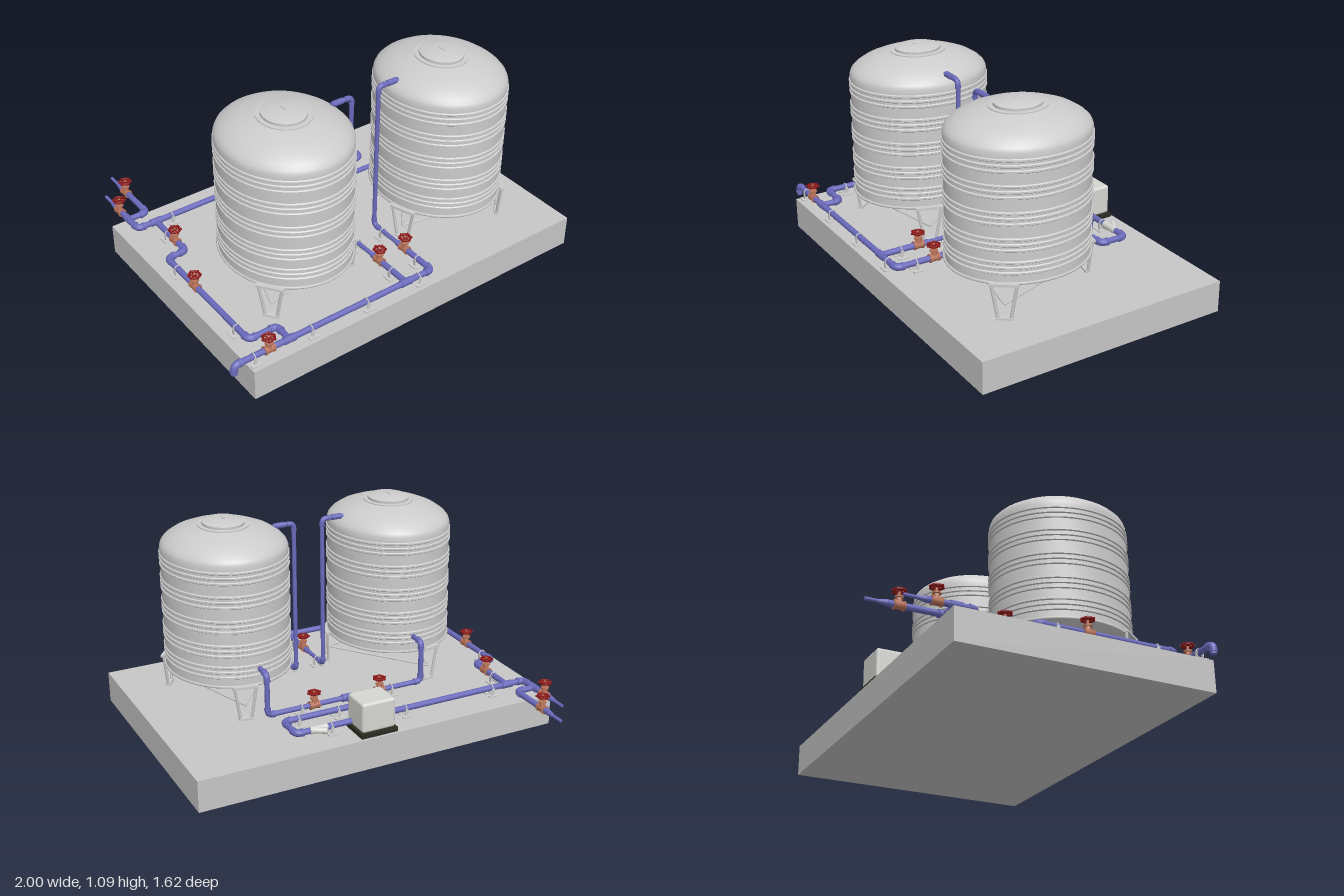
import * as THREE from 'three';
import { toCreasedNormals } from 'three/addons/utils/BufferGeometryUtils.js';
import { RoundedBoxGeometry } from 'three/addons/geometries/RoundedBoxGeometry.js';

const paint = (name, color) => {
  const m = new THREE.MeshStandardMaterial({ color });
  m.name = name;
  return m;
};
const V = (x, y, z) => new THREE.Vector3(x, y, z);
const UP = V(0, 1, 0);

function add(parent, name, geo, mat, x = 0, y = 0, z = 0) {
  const mesh = new THREE.Mesh(geo, mat);
  mesh.name = name;
  mesh.position.set(x, y, z);
  parent.add(mesh);
  return mesh;
}

function addGroup(parent, name) {
  const g = new THREE.Group();
  g.name = name;
  parent.add(g);
  return g;
}

// Round bar from a to b, optionally tapered to radius r2
function rod(parent, name, a, b, r, mat, r2 = r, sides = 12) {
  const geo = new THREE.CylinderGeometry(r2, r, a.distanceTo(b), sides);
  const mesh = add(parent, name, geo, mat);
  mesh.position.copy(a).add(b).multiplyScalar(0.5);
  mesh.quaternion.setFromUnitVectors(UP, b.clone().sub(a).normalize());
  return mesh;
}

export function createModel() {
  const root = new THREE.Group();
  root.name = 'waterTankStation';
  const concrete = paint('concrete', 0xc6c6c6);
  const steel = paint('steel', 0xcccccc);
  const blue = paint('pipe blue', 0x6a6abc);
  const brass = paint('valve copper', 0xb9735a);
  const red = paint('wheel red', 0x8e1616);
  const casing = paint('pump casing', 0xd6d6d2);
  const dark = paint('pump base', 0x2c2c22);

  const PY = 0.2;       // pipe centre height
  const TOP = 0.16;     // slab top
  const TZ = 0.32;      // tank centre z

  add(root, 'slab', new THREE.BoxGeometry(1.91, TOP, 1.295), concrete, 0.042, TOP / 2, 0.162);

  // Ribbed tank wall with dished bottom and domed top
  const R = 0.345;
  const profile = [[0, 0.258], [0.1, 0.263], [0.2, 0.278], [0.28, 0.3], [0.325, 0.322], [R, 0.34]];
  for (const centre of [0.41, 0.52, 0.645, 0.77, 0.89]) {
    for (const d of [-0.026, 0, 0.026]) {
      const y = centre + d;
      profile.push([R, y - 0.008], [R + 0.006, y - 0.004], [R + 0.006, y + 0.004], [R, y + 0.008]);
    }
  }
  profile.push([R, 0.95], [0.338, 0.967], [0.32, 0.985], [0.28, 1.01], [0.22, 1.033], [0.139, 1.05],
    [0.139, 1.055], [0.115, 1.056], [0.115, 1.068], [0.1, 1.073], [0.05, 1.08], [0, 1.083]);
  const tankGeo = toCreasedNormals(
    new THREE.LatheGeometry(profile.map(p => new THREE.Vector2(...p)), 48), 0.5);

  function tank(name, cx, firstLeg) {
    const g = addGroup(root, name);
    g.position.set(cx, 0, TZ);
    g.scale.x = 0.895;
    add(g, 'tankShell', tankGeo, steel);
    rod(g, 'hatchHandle', V(0, 1.083, -0.02), V(0, 1.083, 0.02), 0.005, steel);
    const rim = add(g, 'supportRim', new THREE.TorusGeometry(0.348, 0.007, 6, 48), steel, 0, 0.337, 0);
    rim.rotation.x = Math.PI / 2;
    const mids = [];
    for (let i = 0; i < 3; i++) {
      const a = THREE.MathUtils.degToRad(firstLeg + i * 120);
      const leg = addGroup(g, 'legFrame');
      leg.rotation.y = -a; // local +x points outward
      add(leg, 'topPlate', new THREE.BoxGeometry(0.022, 0.012, 0.14), steel, 0.36, 0.336, 0);
      for (const s of [-1, 1]) {
        rod(leg, 'legBar', V(0.358, 0.335, s * 0.06), V(0.35, TOP, s * 0.03), 0.008, steel, 0.008, 8);
      }
      add(leg, 'footBar', new THREE.BoxGeometry(0.025, 0.01, 0.08), steel, 0.35, TOP + 0.005, 0);
      mids.push(V(Math.cos(a) * 0.35, 0.235, Math.sin(a) * 0.35));
    }
    mids.forEach((m, i) => rod(g, 'legBrace', m, mids[(i + 1) % 3], 0.005, steel, 0.005, 8));
  }
  tank('rightTank', -0.405, 20);
  tank('leftTank', 0.51, 40);

  // Pipe run: straight lengths with thicker curved elbows at the corners
  function pipe(name, r, ...coords) {
    const g = addGroup(root, name);
    const pts = coords.map(c => V(...c));
    const last = pts.length - 1;
    const bend = 0.028;
    const toward = (a, b) => a.clone().add(b.clone().sub(a).setLength(bend));
    for (let i = 0; i < last; i++) {
      const a = i > 0 ? toward(pts[i], pts[i + 1]) : pts[i];
      const b = i + 1 < last ? toward(pts[i + 1], pts[i]) : pts[i + 1];
      rod(g, 'pipeLength', a, b, r, blue);
      if (i > 0) {
        const curve = new THREE.QuadraticBezierCurve3(toward(pts[i], pts[i - 1]), pts[i], a);
        add(g, 'elbow', new THREE.TubeGeometry(curve, 8, r * 1.2, 12), blue);
        for (const [p, q] of [[curve.v0, pts[i - 1]], [curve.v2, pts[i + 1]]]) {
          rod(g, 'elbowCollar', p, p.clone().add(q.clone().sub(p).setLength(0.01)), r * 1.3, blue);
        }
      }
    }
  }
  const r = 0.015;
  pipe('frontMain', r, [-0.985, 0.15, 0.757], [-0.985, PY, 0.757], [0.135, PY, 0.757], [0.135, PY, 0.5]);
  pipe('leftTankFeed', 0.011, [0.135, PY, 0.5], [0.135, PY, 0.315], [0.135, 1, 0.315], [0.25, 1, 0.315]);
  pipe('rightTankBranch', r, [-0.022, PY, 0.757], [-0.022, PY, 0.5]);
  pipe('rightTankFeed', 0.011, [-0.022, PY, 0.5], [-0.022, PY, 0.315], [-0.022, 1, 0.315], [-0.14, 1, 0.315]);
  for (const [x0, x1] of [[-0.075, -0.13], [0.185, 0.24]]) {
    rod(root, 'inletSleeve', V(x0, 1, 0.315), V(x1, 1, 0.315), 0.015, blue);
  }
  pipe('sideMain', r, [-0.69, PY, 0.757], [-0.69, PY, 0.655], [-0.84, PY, 0.655], [-0.84, PY, -0.055],
    [-0.737, PY, -0.055], [-0.737, PY, -0.345]);
  pipe('pumpDelivery', r, [-0.02, PY, -0.345], [-0.84, PY, -0.345], [-0.84, PY, -0.58]);
  pipe('outletBranch', r, [-0.84, PY, -0.44], [-0.737, PY, -0.44], [-0.737, PY, -0.71]);
  pipe('pumpSuction', r, [0.15, PY, -0.345], [0.447, PY, -0.345], [0.447, PY, -0.205], [0.052, PY, -0.205],
    [0.052, PY, -0.105]);
  pipe('tankOutlets', 0.013, [-0.37, 0.415, -0.01], [-0.37, 0.415, -0.105], [-0.37, PY, -0.105],
    [0.485, PY, -0.105], [0.485, 0.415, -0.105], [0.485, 0.415, -0.01]);
  // Reduced open ends
  for (const [x, z] of [[-0.84, -0.58], [-0.737, -0.71]]) {
    rod(root, 'pipeReducer', V(x, PY, z), V(x, PY, z - 0.04), r, blue, 0.008);
    rod(root, 'pipeTail', V(x, PY, z - 0.04), V(x, PY, z - 0.1), 0.008, blue);
  }
  // Tee sleeves
  for (const [x, z, alongX] of [[-0.69, 0.757, 1], [-0.022, 0.757, 1], [-0.737, -0.345, 1],
    [-0.84, -0.44, 0], [0.052, -0.105, 1]]) {
    const d = alongX ? V(0.03, 0, 0) : V(0, 0, 0.03);
    rod(root, 'teeSleeve', V(x, PY, z).sub(d), V(x, PY, z).add(d), r * 1.25, blue);
  }

  // Gate valves with handwheels; last value is 1 when the pipe runs along x
  for (const [x, z, alongX] of [[-0.84, -0.53, 0], [-0.737, -0.655, 0], [-0.737, -0.155, 0], [-0.84, 0.2, 0],
    [-0.8, 0.757, 1], [-0.022, 0.555, 0], [0.135, 0.555, 0], [-0.13, -0.105, 1], [0.235, -0.105, 1]]) {
    const g = addGroup(root, 'valve');
    g.position.set(x, PY, z);
    if (!alongX) g.rotation.y = Math.PI / 2;
    rod(g, 'valveBody', V(-0.024, 0, 0), V(0.024, 0, 0), 0.019, brass);
    for (const s of [-1, 1]) rod(g, 'valveFlange', V(s * 0.018, 0, 0), V(s * 0.026, 0, 0), 0.022, brass);
    rod(g, 'bonnet', V(0, 0, 0), V(0, 0.035, 0), 0.017, brass, 0.012);
    rod(g, 'bonnetFlange', V(0, 0.033, 0), V(0, 0.041, 0), 0.02, brass);
    rod(g, 'stem', V(0, 0.04, 0), V(0, 0.073, 0), 0.006, brass);
    const wheel = add(g, 'handwheel', new THREE.TorusGeometry(0.026, 0.006, 6, 20), red, 0, 0.066, 0);
    wheel.rotation.x = Math.PI / 2;
    for (let i = 0; i < 6; i++) {
      const a = i * Math.PI / 3;
      rod(g, 'wheelSpoke', V(0, 0.066, 0), V(Math.cos(a) * 0.035, 0.066, Math.sin(a) * 0.035), 0.004, red, 0.005, 6);
    }
  }

  // Pipe clamps on the slab
  const clampsX = [[-0.647, -0.345], [-0.144, -0.345], [0.262, -0.345], [0.155, -0.205], [0.369, -0.205],
    [-0.198, -0.105], [-0.027, -0.105], [0.305, -0.105], [-0.882, 0.757], [-0.572, 0.757], [-0.257, 0.757], [0.053, 0.757]];
  const clampsZ = [[-0.737, -0.225], [-0.84, 0.04], [-0.84, 0.555], [-0.022, 0.385], [-0.022, 0.652], [0.135, 0.385], [0.135, 0.652]];
  const clamp = (x, z, turn) => {
    const g = addGroup(root, 'pipeClamp');
    g.position.set(x, 0, z);
    g.rotation.y = turn;
    for (const s of [-1, 1]) {
      add(g, 'clampFoot', new THREE.BoxGeometry(0.05, 0.006, 0.02), steel, 0, TOP + 0.003, s * 0.022);
      add(g, 'clampSide', new THREE.BoxGeometry(0.016, 0.04, 0.004), steel, 0, TOP + 0.02, s * 0.017);
    }
    const strap = add(g, 'clampStrap', new THREE.TorusGeometry(0.017, 0.003, 6, 12, Math.PI), steel, 0, PY, 0);
    strap.rotation.y = Math.PI / 2;
  };
  clampsX.forEach(([x, z]) => clamp(x, z, 0));
  clampsZ.forEach(([x, z]) => clamp(x, z, Math.PI / 2));

  // Pump box on its dark base
  add(root, 'pumpBase', new THREE.BoxGeometry(0.195, 0.022, 0.17), dark, 0.066, TOP + 0.011, -0.388);
  add(root, 'pumpCasing', new RoundedBoxGeometry(0.178, 0.153, 0.156, 3, 0.014), casing, 0.066, 0.2585, -0.386);

  // Inclined strainer beside the pump
  rod(root, 'strainerBody', V(0.285, PY, -0.345), V(0.375, PY, -0.345), 0.019, casing);
  rod(root, 'strainerBasket', V(0.36, PY, -0.345), V(0.3, PY, -0.382), 0.016, casing);
  return root;
}
